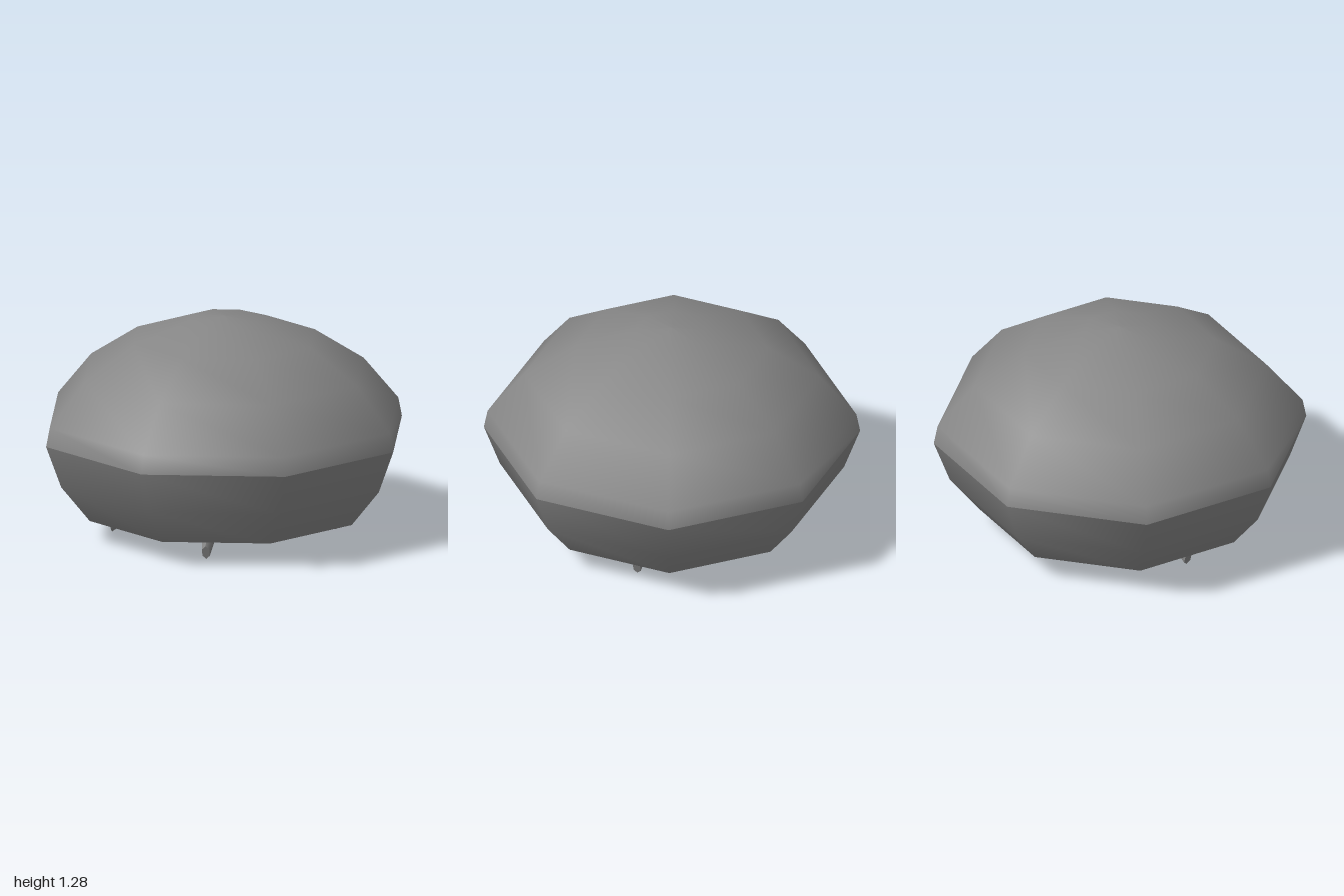
import * as THREE from 'three';

export function createModel() {
  const group = new THREE.Group();
  const material = new THREE.MeshStandardMaterial({ color: 0x868686, side: THREE.DoubleSide });
  const corner = 1 / Math.cos(Math.PI / 8); // flat-side radius to corner radius

  // Eight-sided shell piece turned from a profile of [flat radius, height]
  function octagonal(name, profile) {
    const points = profile.map(([r, y]) => new THREE.Vector2(r * corner, y));
    const geometry = new THREE.LatheGeometry(points, 8);
    geometry.rotateY(Math.PI / 8);
    const mesh = new THREE.Mesh(geometry, material);
    mesh.name = name;
    group.add(mesh);
  }

  // Hollow shell, open at the bottom
  octagonal('dome', [[1, 0.59], [0.98, 0.7], [0.785, 0.955], [0.51, 1.15], [0.19, 1.265], [0, 1.28]]);
  octagonal('skirt', [[0.755, 0.127], [0.915, 0.342], [1, 0.59]]);

  // Leg sections from foot to hub: [position along leg, height, half width]
  const sections = [[0, 0.08, 0.025], [0.1, 0.125, 0.04], [0.25, 0.165, 0.06], [0.55, 0.23, 0.08], [1, 0.28, 0.11]];

  // Claw-like leg: straight lower ridge, deepening towards the hub
  function legGeometry() {
    const rows = sections.length - 1;
    const geometry = new THREE.CylinderGeometry(1, 1, 1, 6, rows);
    const p = geometry.attributes.position;
    for (let i = 0; i < p.count; i++) {
      const [t, h, w] = sections[Math.round((p.getY(i) + 0.5) * rows)];
      const rise = (p.getZ(i) + 1) / 2;
      p.setXYZ(i, p.getX(i) * w, 0.45 * t + h * rise, (0.645 + 0.025 * rise) * (1 - t));
    }
    geometry.computeVertexNormals();
    return geometry;
  }

  // Four legs splaying from the middle of the shell
  const leg = legGeometry();
  for (const sx of [-1, 1]) {
    for (const sz of [-1, 1]) {
      const mesh = new THREE.Mesh(leg, material);
      mesh.name = `${sz > 0 ? 'front' : 'back'}${sx > 0 ? 'Left' : 'Right'}Leg`;
      mesh.rotation.y = Math.atan2(sx * 0.5, sz * 0.41);
      group.add(mesh);
    }
  }
  return group;
}
